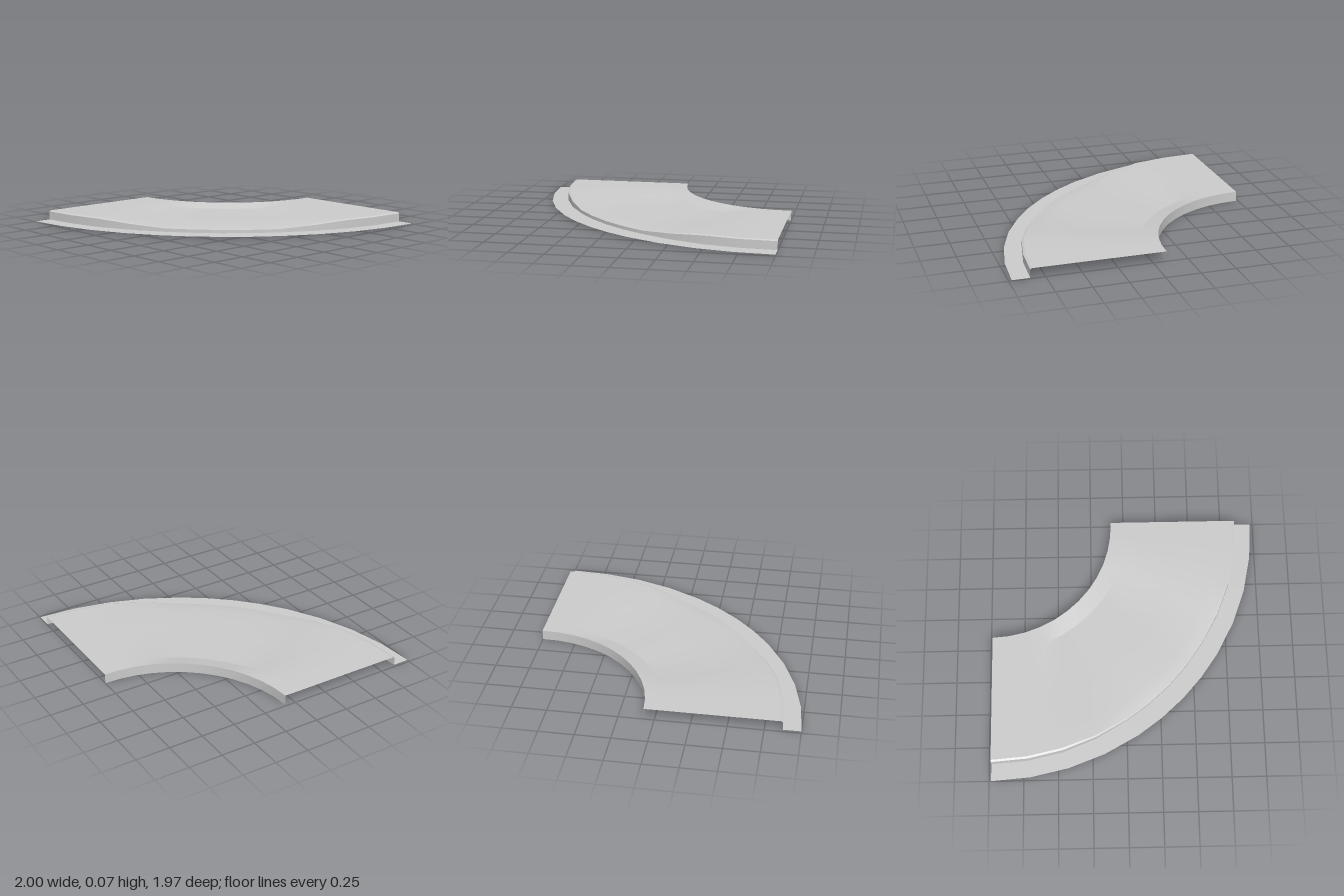
import * as THREE from 'three';
import { toCreasedNormals } from 'three/addons/utils/BufferGeometryUtils.js';

const SEGMENTS = 12; // steps round the quarter turn
const material = new THREE.MeshStandardMaterial({ color: 0xcccccc, side: THREE.DoubleSide });

// 0 at both ends of the bend, 1 over its lowered middle third
const dip = (u) => THREE.MathUtils.clamp((0.5 - Math.abs(u - 0.5)) * 6 - 1, 0, 1);

// narrows the lowered section towards the outside of the bend
const narrowing = (u) => {
  const side = Math.min(u, 1 - u) * 3;
  return Math.sign(0.5 - u) * (u === 0.5 ? 0 : side < 1 ? side : (1.5 - side) * 2);
};

// Rings across the bend: radius, end height, lowered height, radius change, narrowing in degrees
const ring = (r, yEnd, yMid = yEnd, dr = 0, warp = 0) => ({ r, yEnd, yMid, dr, warp });
const innerFoot = ring(0.925, 0);
const innerTop = ring(0.925, 0.073);
const rimCrease = ring(1.062, 0.073, 0.045, -0.012);
const midCrease = ring(1.466, 0.073, 0.041);
const outerCrease = ring(1.745, 0.073, 0.039, 0, 2.4);
const kerbBevel = ring(1.86, 0.073, 0.031, -0.008, 2.2);
const kerbTop = ring(1.875, 0.066, 0.029, -0.014, 2.2);
const kerbFoot = ring(1.875, 0.005, 0.005, -0.014, 2.2);
const flangeEdge = ring(2.0, 0.005, 0.005, 0, 2.5);

function ringPoint(g, u) {
  const angle = THREE.MathUtils.degToRad(90 * u + g.warp * narrowing(u));
  const d = dip(u);
  const r = g.r - 0.035 * u + g.dr * d;
  return [
    1 - r * Math.cos(angle),
    THREE.MathUtils.lerp(g.yEnd, g.yMid, d),
    -0.985 + r * Math.sin(angle),
  ];
}

// Skins a series of rings into one curved strip
function strip(name, rings) {
  const positions = [];
  const index = [];
  const n = rings.length;
  for (let j = 0; j <= SEGMENTS; j++) {
    for (const g of rings) positions.push(...ringPoint(g, j / SEGMENTS));
  }
  for (let j = 0; j < SEGMENTS; j++) {
    for (let i = 0; i < n - 1; i++) {
      const a = j * n + i;
      index.push(a, a + 1, a + n, a + 1, a + n + 1, a + n);
    }
  }
  const geometry = new THREE.BufferGeometry();
  geometry.setAttribute('position', new THREE.Float32BufferAttribute(positions, 3));
  geometry.setIndex(index);
  const mesh = new THREE.Mesh(toCreasedNormals(geometry, 0.2), material);
  mesh.name = name;
  return mesh;
}

export function createModel() {
  const model = new THREE.Group();
  model.name = 'curvedPavement';
  model.add(
    strip('innerWall', [innerFoot, innerTop]),
    strip('pavementSurface', [innerTop, rimCrease, midCrease, outerCrease, kerbBevel, kerbTop]),
    strip('kerbFace', [kerbTop, kerbFoot]),
    strip('gutterFlange', [kerbFoot, flangeEdge]),
  );
  return model;
}
